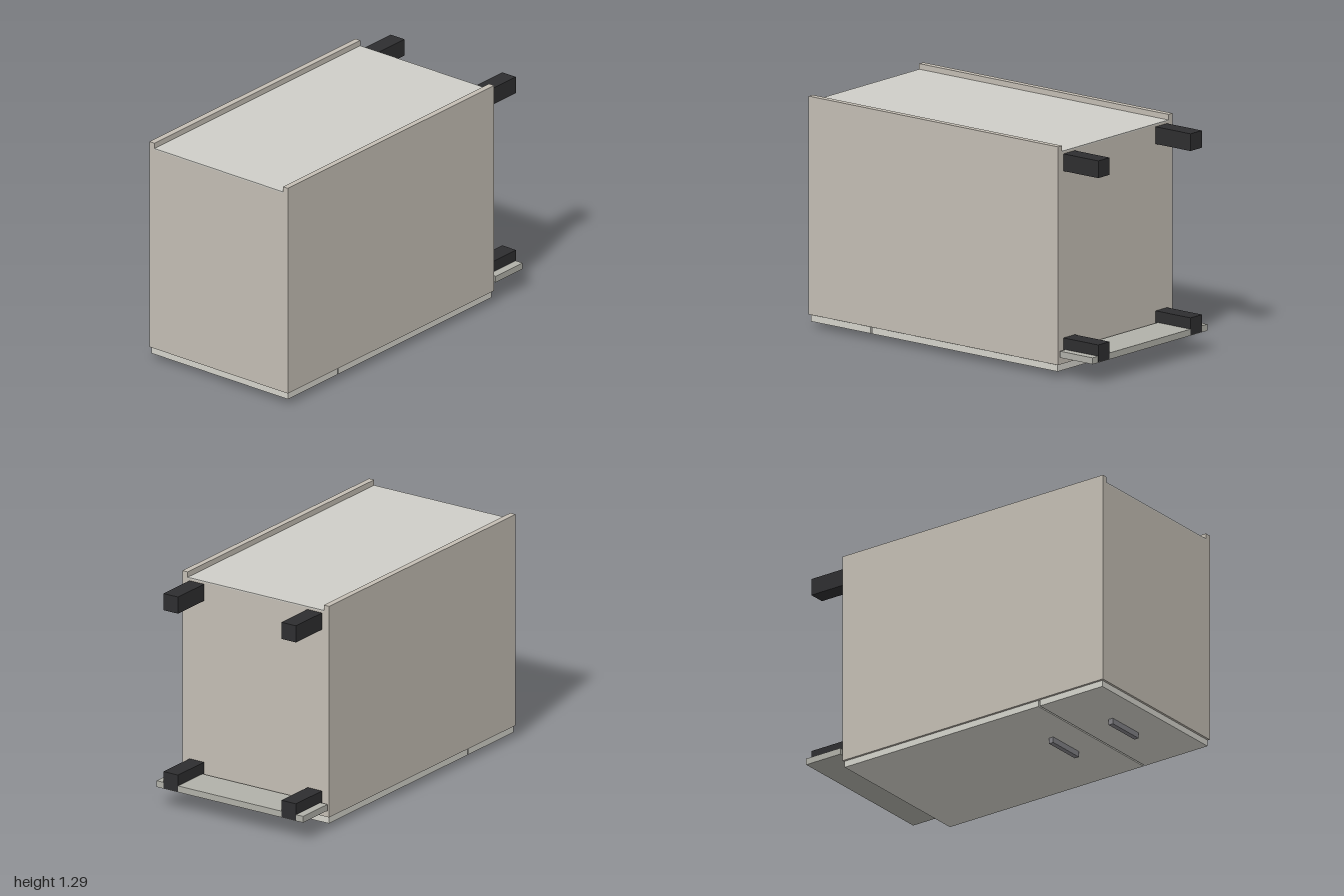
import * as THREE from 'three';

const CARCASS = 0xc4beb4, FRONT = 0xd5d4cc, BACK = 0xcfcec8, PLINTH = 0xb1b1a9, LEG = 0x2e2e30, METAL = 0x828186;

// Base cabinet laid on its doors: fronts face down, feet point to -z.
export function createModel() {
  const model = new THREE.Group();
  model.name = 'cabinet';
  const materials = {};

  // Box given by its limits on each axis
  function box(name, color, [x0, x1], [y0, y1], [z0, z1]) {
    materials[color] ??= new THREE.MeshStandardMaterial({ color });
    const mesh = new THREE.Mesh(new THREE.BoxGeometry(x1 - x0, y1 - y0, z1 - z0), materials[color]);
    mesh.name = name;
    mesh.position.set((x0 + x1) / 2, (y0 + y1) / 2, (z0 + z1) / 2);
    model.add(mesh);
  }

  // Side panels, standing proud of the recessed back panel
  box('leftSide', CARCASS, [0.45, 0.485], [0.072, 1.29], [-0.755, 1]);
  box('rightSide', CARCASS, [-0.485, -0.45], [0.072, 1.29], [-0.755, 1]);

  // End panels, inner rail and back panel
  const inner = [-0.45, 0.45];
  box('topPanel', CARCASS, inner, [0.072, 1.252], [0.964, 1]);
  box('bottomPanel', CARCASS, inner, [0.072, 1.252], [-0.755, -0.719]);
  box('rail', CARCASS, inner, [0.072, 0.3], [0.545, 0.58]);
  box('backPanel', BACK, inner, [1.252, 1.259], [-0.755, 1]);

  // Drawer front and door, each with a bar handle
  const width = [-0.477, 0.477], depth = [0.033, 0.069];
  box('drawerFront', FRONT, width, depth, [0.57, 0.991]);
  box('door', FRONT, width, depth, [-0.746, 0.56]);
  for (const [name, z] of [['drawerHandle', 0.78], ['doorHandle', 0.378]]) {
    box(name, METAL, [-0.117, 0.117], [0, 0.033], [z - 0.014, z + 0.014]);
  }

  // Four square feet
  for (const x of [-0.39, 0.39]) {
    for (const y of [0.167, 1.194]) {
      box('foot', LEG, [x - 0.048, x + 0.048], [y - 0.048, y + 0.048], [-1, -0.755]);
    }
  }

  // Plinth board across the front pair of feet
  box('plinth', PLINTH, [-0.485, 0.485], [0.116, 0.152], [-0.9995, -0.77]);

  return model;
}
